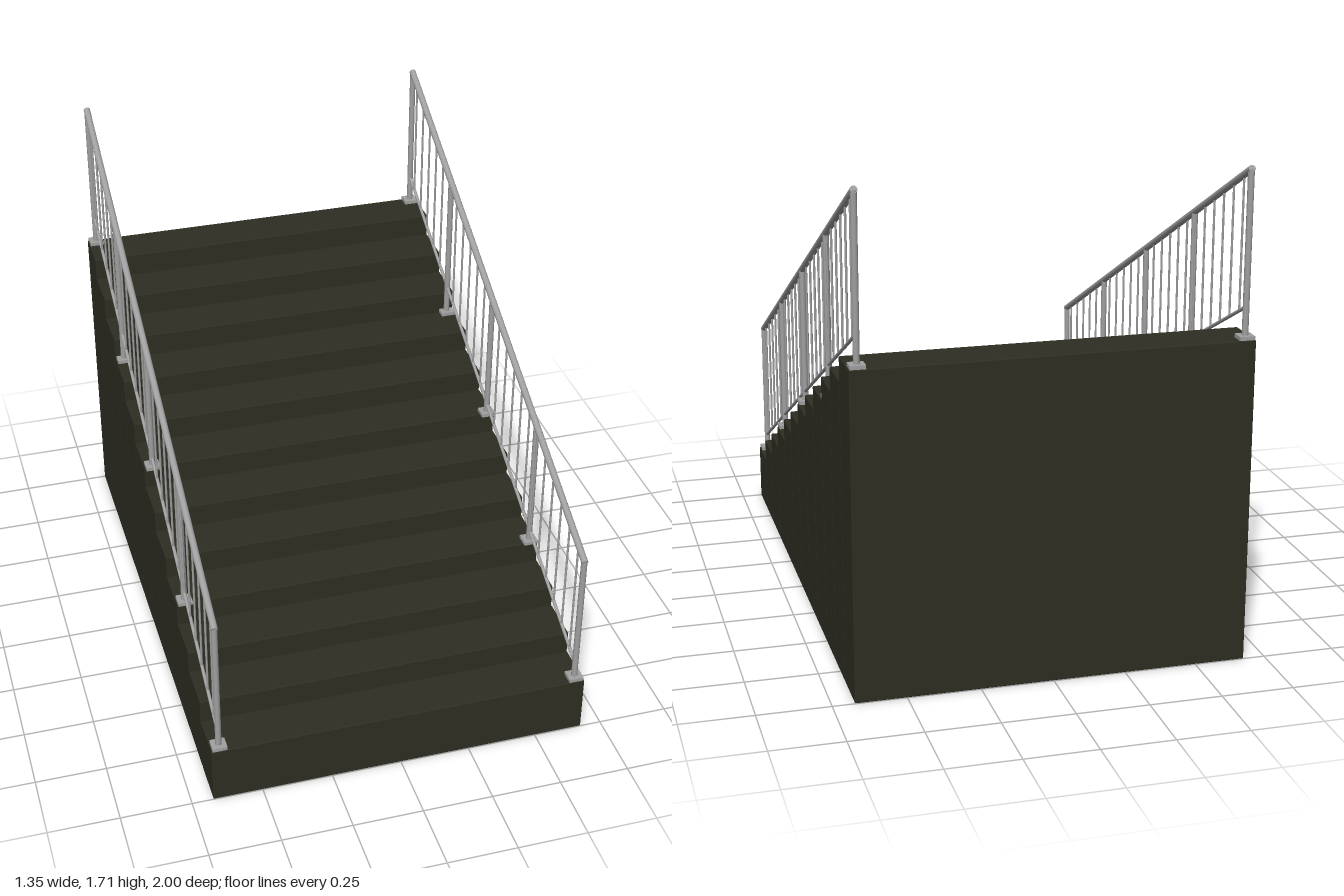
import * as THREE from 'three';
import { RoundedBoxGeometry } from 'three/addons/geometries/RoundedBoxGeometry.js';

const STEPS = 12, DEPTH = 2 / STEPS, FIRST = 0.213, RISE = 0.0835, WIDTH = 1.35;
const RAIL_X = 0.645, SLOPE = 0.495;
const topRailY = z => 1.211 - SLOPE * z;
const lowRailY = z => 0.757 - SLOPE * z;
const stepTop = i => FIRST + i * RISE;

const stone = new THREE.MeshStandardMaterial({ color: 0x2e2e23 });
stone.name = 'darkStone';
const steel = new THREE.MeshStandardMaterial({ color: 0xa0a0a0 });
steel.name = 'greySteel';

// Round bar between two points of the railing plane
function bar(name, y0, z0, y1, z1, radius, sides = 12) {
  const a = new THREE.Vector3(0, y0, z0), b = new THREE.Vector3(0, y1, z1);
  const mesh = new THREE.Mesh(new THREE.CylinderGeometry(radius, radius, a.distanceTo(b), sides), steel);
  mesh.name = name;
  mesh.position.copy(a).add(b).multiplyScalar(0.5);
  mesh.quaternion.setFromUnitVectors(new THREE.Vector3(0, 1, 0), b.sub(a).normalize());
  return mesh;
}

function railing(name) {
  const group = new THREE.Group();
  group.name = name;

  // Sloping rails
  group.add(bar('handrail', topRailY(0.98), 0.98, topRailY(-0.98), -0.98, 0.012, 16));
  group.add(bar('lowerRail', lowRailY(0.975), 0.975, lowRailY(-0.975), -0.975, 0.006));

  // Posts on square foot plates, each with the step it stands on
  [[0.974, 0], [0.487, 3], [0, 6], [-0.487, 8], [-0.974, 11]].forEach(([z, step]) => {
    const y = stepTop(step);
    group.add(bar('post', y, z, topRailY(z), z, 0.011));
    const plate = new THREE.Mesh(new THREE.BoxGeometry(0.052, 0.013, 0.05), steel);
    plate.name = 'footPlate';
    plate.position.set(0, y + 0.0065, z);
    group.add(plate);
  });

  // Thin balusters at half-step spacing
  for (let k = -11; k <= 11; k++) {
    if (k === 0) continue;
    const z = k * DEPTH / 2;
    group.add(bar('baluster', lowRailY(z), z, topRailY(z), z, 0.004, 8));
  }
  return group;
}

export function createModel() {
  const model = new THREE.Group();
  model.name = 'staircase';

  // Solid steps, each a full-height block with softened edges
  const steps = new THREE.Group();
  steps.name = 'steps';
  for (let i = 0; i < STEPS; i++) {
    const h = stepTop(i);
    const step = new THREE.Mesh(new RoundedBoxGeometry(WIDTH, h, DEPTH, 2, 0.004), stone);
    step.name = 'step';
    step.position.set(0, h / 2, 1 - (i + 0.5) * DEPTH);
    steps.add(step);
  }
  model.add(steps);

  // One railing on each side
  for (const side of [-1, 1]) {
    const rail = railing(side > 0 ? 'leftRailing' : 'rightRailing');
    rail.position.x = side * RAIL_X;
    model.add(rail);
  }
  return model;
}
